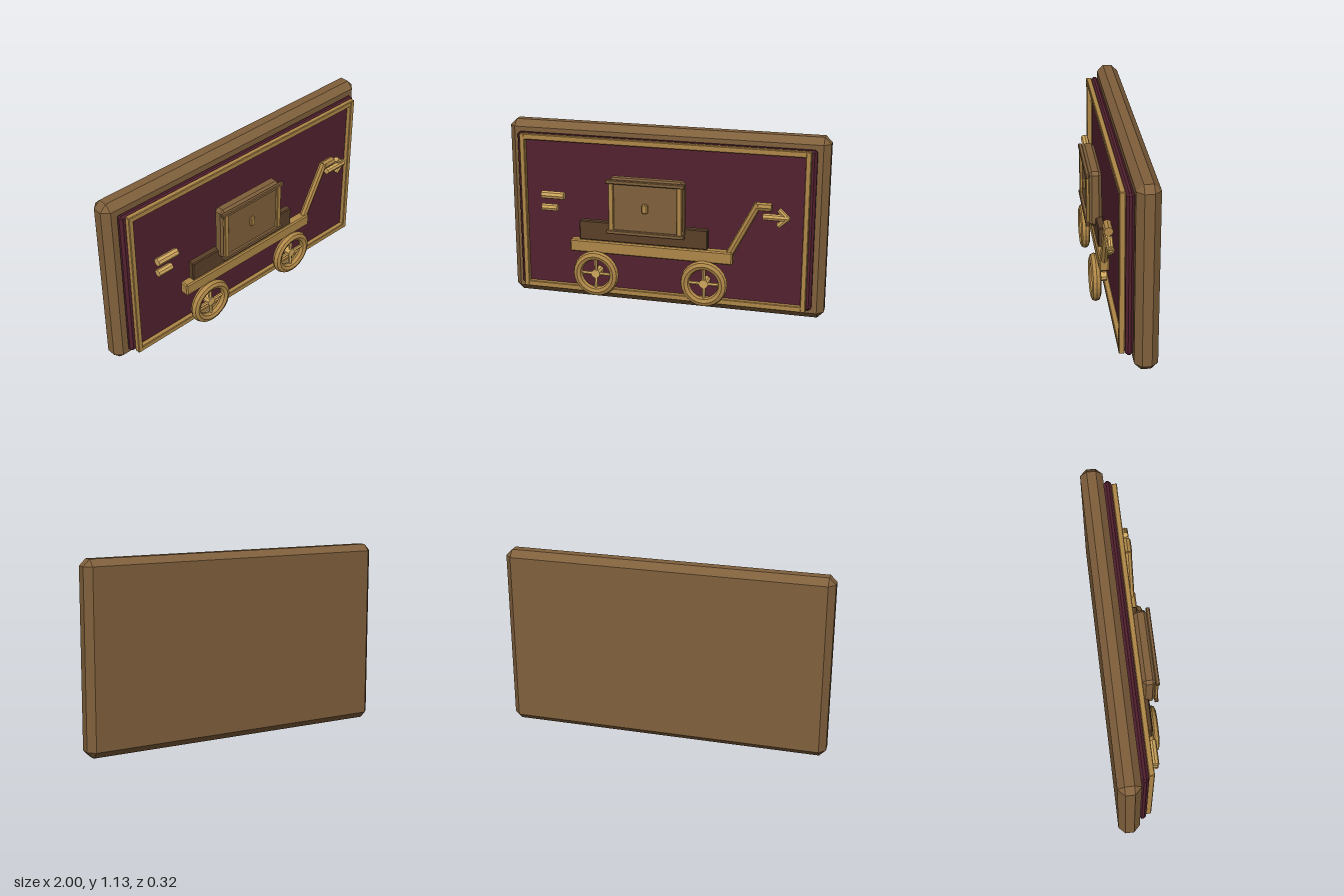
import * as THREE from 'three';
import { ConvexGeometry } from 'three/addons/geometries/ConvexGeometry.js';

const paint = (name, color) => {
  const m = new THREE.MeshStandardMaterial({ color });
  m.name = name;
  m.flatShading = true;
  return m;
};

// Box with every edge and corner cut by c
function chamferBox(w, h, d, c) {
  const pts = [];
  for (const x of [-1, 1]) for (const y of [-1, 1]) for (const z of [-1, 1]) {
    for (let k = 0; k < 3; k++) {
      pts.push(new THREE.Vector3(
        x * (w / 2 - (k === 0 ? 0 : c)),
        y * (h / 2 - (k === 1 ? 0 : c)),
        z * (d / 2 - (k === 2 ? 0 : c))));
    }
  }
  return new ConvexGeometry(pts);
}

export function createModel() {
  const root = new THREE.Group();
  root.name = 'cartPlaque';
  const wood = paint('wood', 0x80603c);
  const darkWood = paint('darkWood', 0x5a4029);
  const plum = paint('plum', 0x52212f);
  const brass = paint('brass', 0xb08848);
  const paleBrass = paint('paleBrass', 0xd0a75e);

  const add = (name, geometry, material, parent = root) => {
    const mesh = new THREE.Mesh(geometry, material);
    mesh.name = name;
    parent.add(mesh);
    return mesh;
  };
  // Chamfered block given by its limits
  const block = (name, x0, x1, y0, y1, z0, z1, c, material) => {
    const mesh = add(name, chamferBox(x1 - x0, y1 - y0, z1 - z0, c), material);
    mesh.position.set((x0 + x1) / 2, (y0 + y1) / 2, (z0 + z1) / 2);
    return mesh;
  };
  // Straight rod between two points in a plane of constant z
  const rod = (name, x0, y0, x1, y1, z, r, material, parent = root, sides = 8) => {
    const g = new THREE.CylinderGeometry(r, r, Math.hypot(x1 - x0, y1 - y0), sides);
    const mesh = add(name, g, material, parent);
    mesh.position.set((x0 + x1) / 2, (y0 + y1) / 2, z);
    mesh.rotation.z = Math.atan2(y1 - y0, x1 - x0) - Math.PI / 2;
    return mesh;
  };

  // Backing board, inset panel and frame
  block('backBoard', -1, 1, 0, 1.135, -0.16, -0.025, 0.04, wood);
  block('insetPanel', -0.93, 0.93, 0.07, 1.07, -0.025, 0.02, 0.015, plum);
  for (const s of [-1, 1]) {
    const y = 0.57 + s * 0.482;
    block('frameRail', -0.9, 0.9, y - 0.018, y + 0.018, 0.02, 0.053, 0.004, brass);
    const x = s * 0.885;
    block('framePost', x - 0.016, x + 0.016, 0.07, 1.07, 0.02, 0.054, 0.004, brass);
  }

  // Cart bed, bench plank and pull handle
  block('cartBed', -0.565, 0.46, 0.355, 0.435, 0.055, 0.115, 0.008, brass);
  block('bench', -0.505, 0.305, 0.435, 0.56, 0.06, 0.105, 0.006, darkWood);
  rod('handleShaft', 0.435, 0.415, 0.605, 0.745, 0.085, 0.024, brass);
  rod('handleGrip', 0.595, 0.73, 0.685, 0.73, 0.085, 0.027, brass);

  // Crate with corner posts, rails and latch
  block('crate', -0.305, 0.165, 0.5, 0.855, 0.065, 0.145, 0.02, wood);
  for (const s of [-1, 1]) {
    const x = -0.07 + s * 0.213;
    block('cratePost', x - 0.016, x + 0.016, 0.51, 0.845, 0.14, 0.16, 0.004, brass);
    const y = 0.677 + s * 0.158;
    block('crateRail', -0.315, 0.175, y - 0.013, y + 0.013, 0.14, 0.164, 0.005, wood);
  }
  block('crateLatch', -0.09, -0.054, 0.65, 0.708, 0.14, 0.162, 0.006, brass);

  // Spoked wheels on short axles
  for (const x of [-0.395, 0.29]) {
    const wheel = new THREE.Group();
    wheel.name = 'wheel';
    wheel.position.set(x, 0.227, 0.125);
    root.add(wheel);
    add('tyre', new THREE.TorusGeometry(0.117, 0.029, 8, 24), brass, wheel);
    rod('spokeAcross', -0.1, 0, 0.1, 0, 0, 0.011, paleBrass, wheel, 6);
    rod('spokeUpright', 0, -0.1, 0, 0.1, 0, 0.011, paleBrass, wheel, 6);
    const axle = add('axle', new THREE.CylinderGeometry(0.028, 0.028, 0.085, 10), paleBrass, wheel);
    axle.rotation.x = Math.PI / 2;
    axle.position.z = -0.03;
  }

  // Arrow ahead of the cart and speed lines behind it
  rod('arrowShaft', 0.635, 0.67, 0.79, 0.67, 0.085, 0.021, paleBrass);
  for (const s of [-1, 1]) {
    rod('arrowBarb', 0.725, 0.67 + s * 0.05, 0.785, 0.67 - s * 0.005, 0.085, 0.017, paleBrass);
  }
  rod('speedLineLong', -0.75, 0.7, -0.605, 0.7, 0.083, 0.025, paleBrass);
  rod('speedLineShort', -0.75, 0.62, -0.65, 0.62, 0.083, 0.023, paleBrass);

  return root;
}
